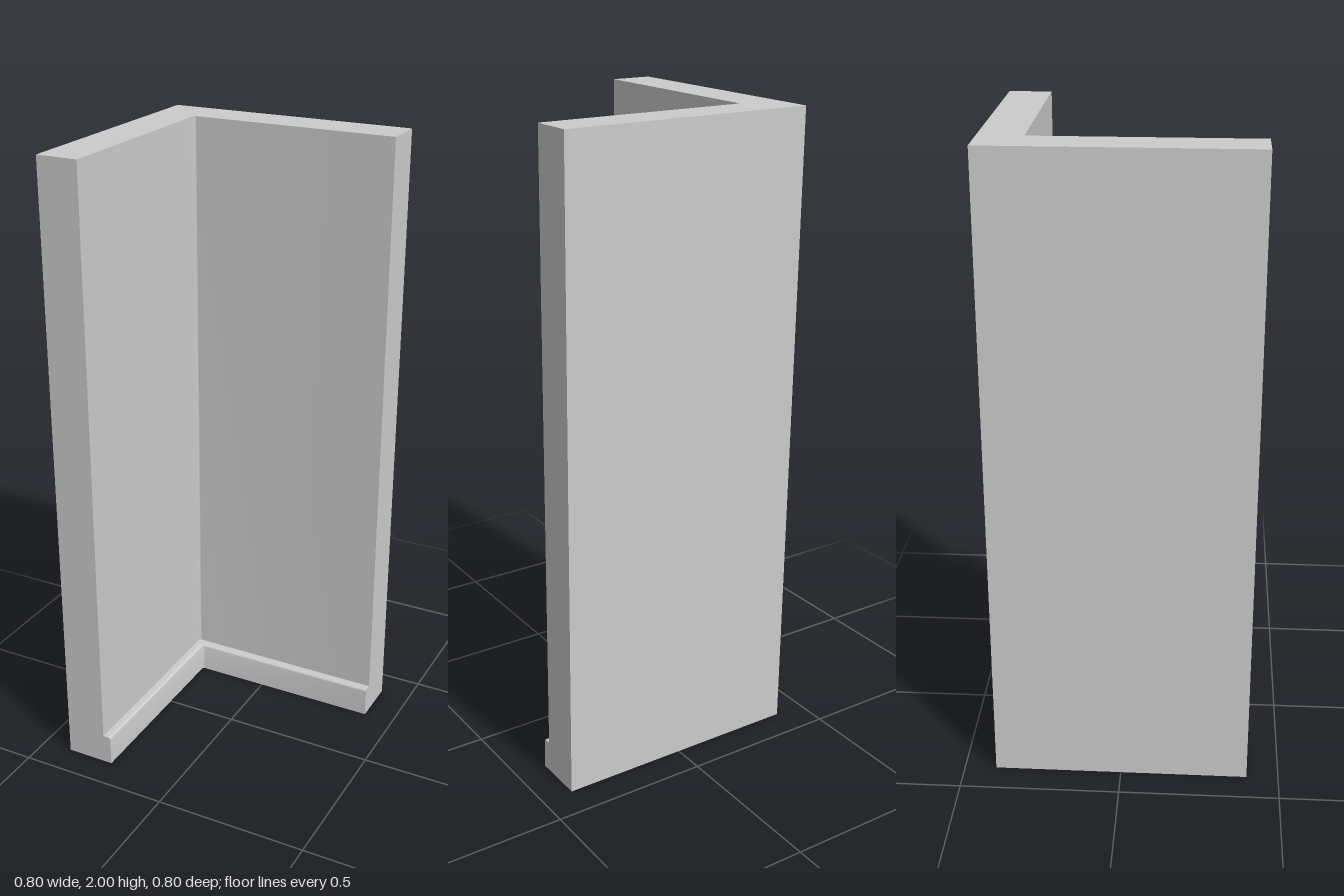
import * as THREE from 'three';
import { toCreasedNormals } from 'three/addons/utils/BufferGeometryUtils.js';

const HALF = 0.4, WALL = -0.267, SKIRT = -0.24, R = 0.008, HEIGHT = 2, SKIRT_HEIGHT = 0.1;

// Inner line of the L at offset d, with a softly rounded corner, as [x, z]
function innerPath(d) {
  const pts = [[d, HALF]];
  for (let i = 0; i <= 6; i++) {
    const a = (i / 6) * Math.PI / 2;
    pts.push([d + R - R * Math.cos(a), d + R - R * Math.sin(a)]);
  }
  pts.push([HALF, d]);
  return pts;
}

// L-shaped plan raised to full height
function wallGeometry() {
  const shape = new THREE.Shape();
  shape.moveTo(-HALF, -HALF);
  innerPath(WALL).forEach(([x, z]) => shape.lineTo(x, -z));
  shape.lineTo(HALF, HALF);
  shape.lineTo(-HALF, HALF);
  shape.closePath();
  const geo = new THREE.ExtrudeGeometry(shape, { depth: HEIGHT, bevelEnabled: false });
  geo.rotateX(-Math.PI / 2);
  return toCreasedNormals(geo, 0.6);
}

// Skirting profile with a rounded top edge, swept along the inner line
function skirtingGeometry() {
  const profile = [[WALL, 0], [SKIRT, 0]];
  for (let i = 0; i <= 5; i++) {
    const a = (i / 5) * Math.PI / 2;
    profile.push([SKIRT - R + R * Math.cos(a), SKIRT_HEIGHT - R + R * Math.sin(a)]);
  }
  profile.push([WALL, SKIRT_HEIGHT]);

  const pos = [], idx = [];
  let cols = 0;
  for (const [d, y] of profile) {
    const path = innerPath(d);
    cols = path.length;
    path.forEach(([x, z]) => pos.push(x, y, z));
  }
  const at = (k, j) => k * cols + j;
  for (let k = 0; k < profile.length - 1; k++) {
    for (let j = 0; j < cols - 1; j++) {
      idx.push(at(k, j), at(k, j + 1), at(k + 1, j + 1));
      idx.push(at(k, j), at(k + 1, j + 1), at(k + 1, j));
    }
    // end caps
    if (k > 0) {
      idx.push(at(0, 0), at(k, 0), at(k + 1, 0));
      idx.push(at(0, cols - 1), at(k + 1, cols - 1), at(k, cols - 1));
    }
  }
  const geo = new THREE.BufferGeometry();
  geo.setAttribute('position', new THREE.Float32BufferAttribute(pos, 3));
  geo.setIndex(idx);
  return toCreasedNormals(geo, 0.6);
}

export function createModel() {
  const group = new THREE.Group();
  group.name = 'wallCorner';
  const material = new THREE.MeshStandardMaterial({ color: 0xcccccc });
  const add = (name, geo) => {
    const mesh = new THREE.Mesh(geo, material);
    mesh.name = name;
    group.add(mesh);
  };
  add('wall', wallGeometry());
  add('skirting', skirtingGeometry());
  return group;
}
